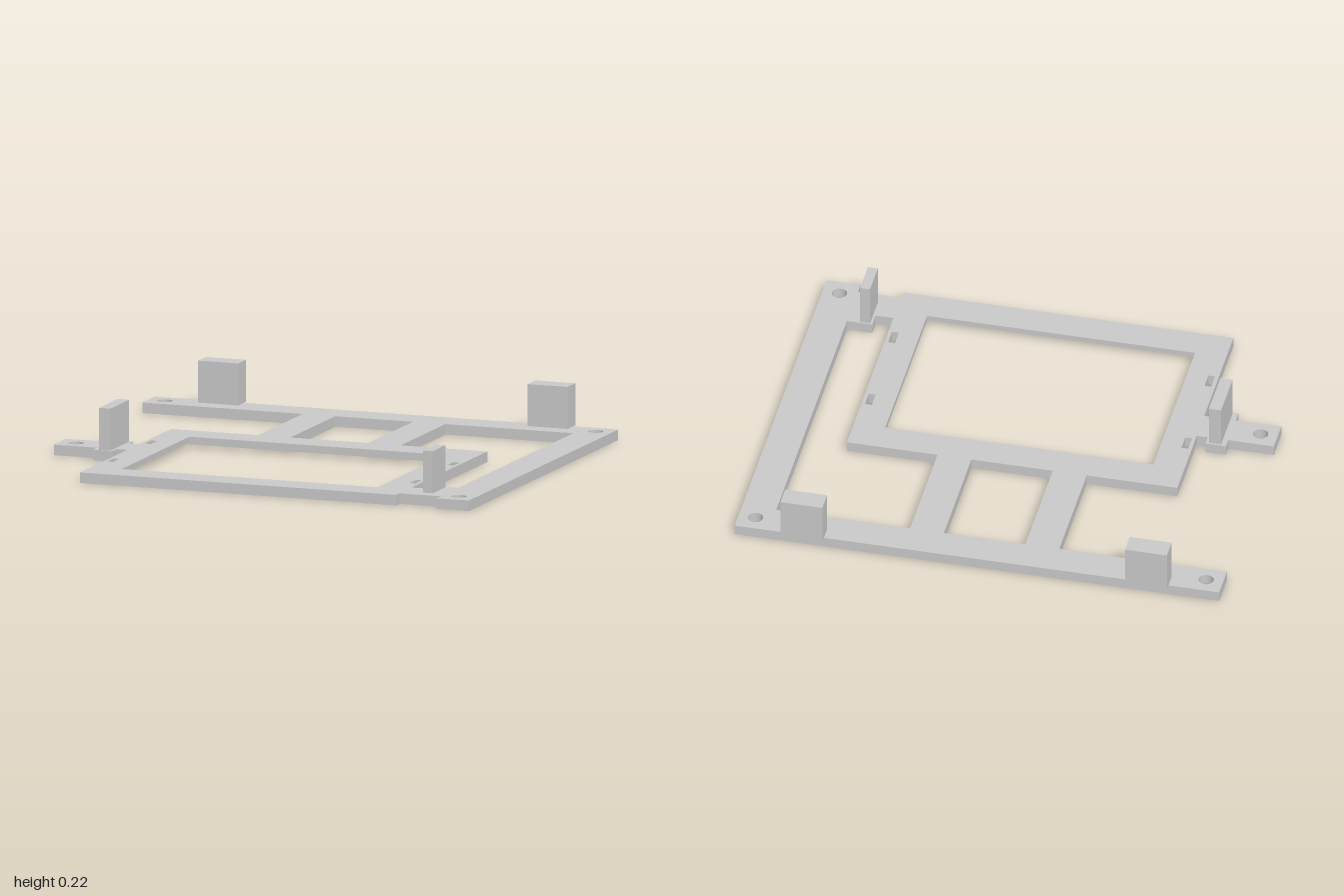
import * as THREE from 'three';

const grey = new THREE.MeshStandardMaterial({ color: 0xc8c8c8 });
grey.name = 'grey plastic';

const PLATE = 0.043; // plate thickness
const RECESS = 0.02; // depth of the step under the window
const POST_TOP = 0.215;

// Points are [x, z] as seen from above, listed clockwise; reversed to run counter-clockwise
const toPoints = (list) => list.map(([x, z]) => new THREE.Vector2(x, -z)).reverse();
const rect = (x0, x1, z0, z1) => toPoints([[x0, z0], [x1, z0], [x1, z1], [x0, z1]]);

function plateLayer(name, y0, y1, windowRect) {
  const shape = new THREE.Shape(toPoints([
    [-1, -0.82], [1, -0.82], [1, 0.847], [0.86, 0.847], [0.86, 0.8], [0.682, 0.8],
    [0.682, 0.837], [-0.682, 0.837],
    // side tab
    [-0.682, 0.308], [-0.727, 0.308], [-0.727, 0.354], [-0.812, 0.354], [-0.812, 0.308],
    [-1, 0.308], [-1, 0.172], [-0.812, 0.172], [-0.812, 0.13], [-0.727, 0.13],
    [-0.727, 0.172], [-0.682, 0.172],
    // strut and rear bar
    [-0.682, -0.182], [-0.308, -0.182], [-0.308, -0.681], [-1, -0.681],
  ]));
  const addHole = (points) => shape.holes.push(new THREE.Path(points));

  // Main window, gap between struts, and side opening
  addHole(windowRect);
  addHole(rect(-0.168, 0.168, -0.681, -0.182));
  addHole(toPoints([
    [0.308, -0.681], [0.86, -0.681], [0.86, 0.602], [0.755, 0.602],
    [0.755, 0.663], [0.682, 0.663], [0.682, -0.182], [0.308, -0.182],
  ]));

  // Small slots on both sides of the window
  for (const x of [-0.653, 0.653]) {
    for (const z of [0.082, 0.503]) addHole(rect(x - 0.014, x + 0.014, z, z + 0.07));
  }

  // Screw holes
  for (const [x, z] of [[-0.93, -0.749], [0.93, -0.749], [-0.93, 0.241], [0.93, 0.775]]) {
    const hole = new THREE.Path();
    hole.absarc(x, -z, 0.031, 0, Math.PI * 2, false);
    shape.holes.push(hole);
  }

  const geometry = new THREE.ExtrudeGeometry(shape, {
    depth: y1 - y0, bevelEnabled: false, curveSegments: 16,
  });
  geometry.rotateX(-Math.PI / 2).translate(0, y0, 0);
  const mesh = new THREE.Mesh(geometry, grey);
  mesh.name = name;
  return mesh;
}

function post(name, x0, x1, z0, z1) {
  const height = POST_TOP - PLATE;
  const mesh = new THREE.Mesh(new THREE.BoxGeometry(x1 - x0, height, z1 - z0), grey);
  mesh.position.set((x0 + x1) / 2, PLATE + height / 2, (z0 + z1) / 2);
  mesh.name = name;
  return mesh;
}

export function createModel() {
  const group = new THREE.Group();
  group.name = 'mountingFrame';
  group.add(
    // The lower layer has a wider window, leaving a step underneath
    plateLayer('lowerPlate', 0, RECESS, rect(-0.607, 0.607, -0.111, 0.768)),
    plateLayer('upperPlate', RECESS, PLATE, rect(-0.553, 0.553, -0.052, 0.707)),
    // Upright locating posts
    post('rearRightPost', -0.79, -0.617, -0.847, -0.76),
    post('rearLeftPost', 0.632, 0.805, -0.847, -0.76),
    post('sideRightPost', -0.79, -0.74, 0.138, 0.348),
    post('frontLeftPost', 0.766, 0.807, 0.608, 0.75),
  );
  return group;
}
